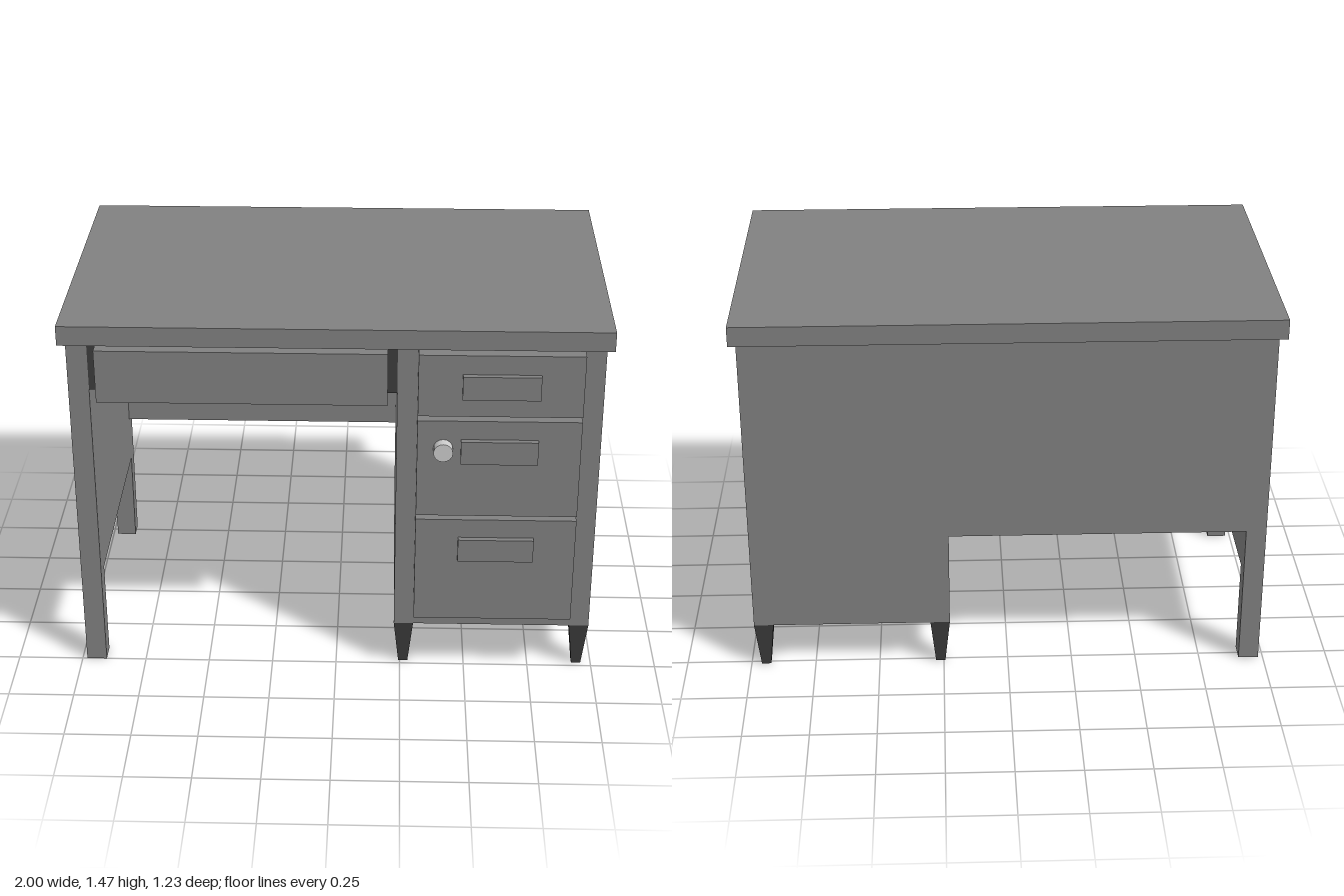
import * as THREE from 'three';

const bodyMaterial = new THREE.MeshStandardMaterial({ color: 0x808080, flatShading: true });
const darkMaterial = new THREE.MeshStandardMaterial({ color: 0x3c3c3c, flatShading: true });
const knobMaterial = new THREE.MeshStandardMaterial({ color: 0xc0c0c0 });

export function createModel() {
  const desk = new THREE.Group();
  desk.name = 'desk';

  const add = (name, geometry, material) => {
    const mesh = new THREE.Mesh(geometry, material);
    mesh.name = name;
    desk.add(mesh);
    return mesh;
  };
  // Box given by its extents along each axis
  const box = (name, [x0, x1], [y0, y1], [z0, z1], material = bodyMaterial) =>
    add(name, new THREE.BoxGeometry(x1 - x0, y1 - y0, z1 - z0), material)
      .position.set((x0 + x1) / 2, (y0 + y1) / 2, (z0 + z1) / 2);

  const front = 0.5, back = -0.535, post = 0.075, face = 0.575;
  const under = 1.398, legTop = 0.187;

  // Main carcass
  box('desktop', [-1, 1], [under, 1.473], [-0.614, face]);
  box('drawerCabinet', [0.225, 0.98], [legTop, under], [back, front]);
  box('sidePanel', [-0.982, -0.905], [0.38, under], [back, front]);
  box('modestyPanel', [-0.905, 0.225], [0.567, under], [back, back + post]);

  // Straight legs under the side panel
  for (const z of [back, front - post]) {
    box('straightLeg', [-0.982, -0.905], [0, 0.38], [z, z + post]);
  }

  // Dark tapered square legs under the cabinet
  for (const x of [0.2625, 0.9425]) {
    for (const z of [back + post / 2, front - post / 2]) {
      const g = new THREE.BoxGeometry(post, legTop, post);
      const p = g.attributes.position;
      for (let i = 0; i < p.count; i++) {
        if (p.getY(i) < 0) p.setXYZ(i, p.getX(i) * 0.48, p.getY(i), p.getZ(i) * 0.48);
      }
      g.computeVertexNormals();
      add('taperedLeg', g, darkMaterial).position.set(x, legTop / 2, z);
    }
  }

  // Wide drawer over the knee space, with its dark housing behind
  box('kneeDrawerHousing', [-0.905, 0.225], [1.187, 1.378], [back + post, front], darkMaterial);
  box('kneeDrawerFront', [-0.87, 0.19], [1.172, 1.378], [front, face]);

  // Cabinet drawers: front extents and handle plate bottom
  for (const [y0, y1, handleY] of [[0.263, 0.699, 0.53], [0.717, 1.113, 0.945], [1.132, 1.377, 1.209]]) {
    box('drawerFront', [0.3, 0.9], [y0, y1], [front, face]);
    box('handlePlate', [0.46, 0.743], [handleY, handleY + 0.093], [face, 0.597]);
  }

  // Round lock knob
  const knob = add('lockKnob', new THREE.CylinderGeometry(0.036, 0.036, 0.04, 16), knobMaterial);
  knob.rotation.x = Math.PI / 2;
  knob.position.set(0.395, 1.001, 0.595);

  return desk;
}
